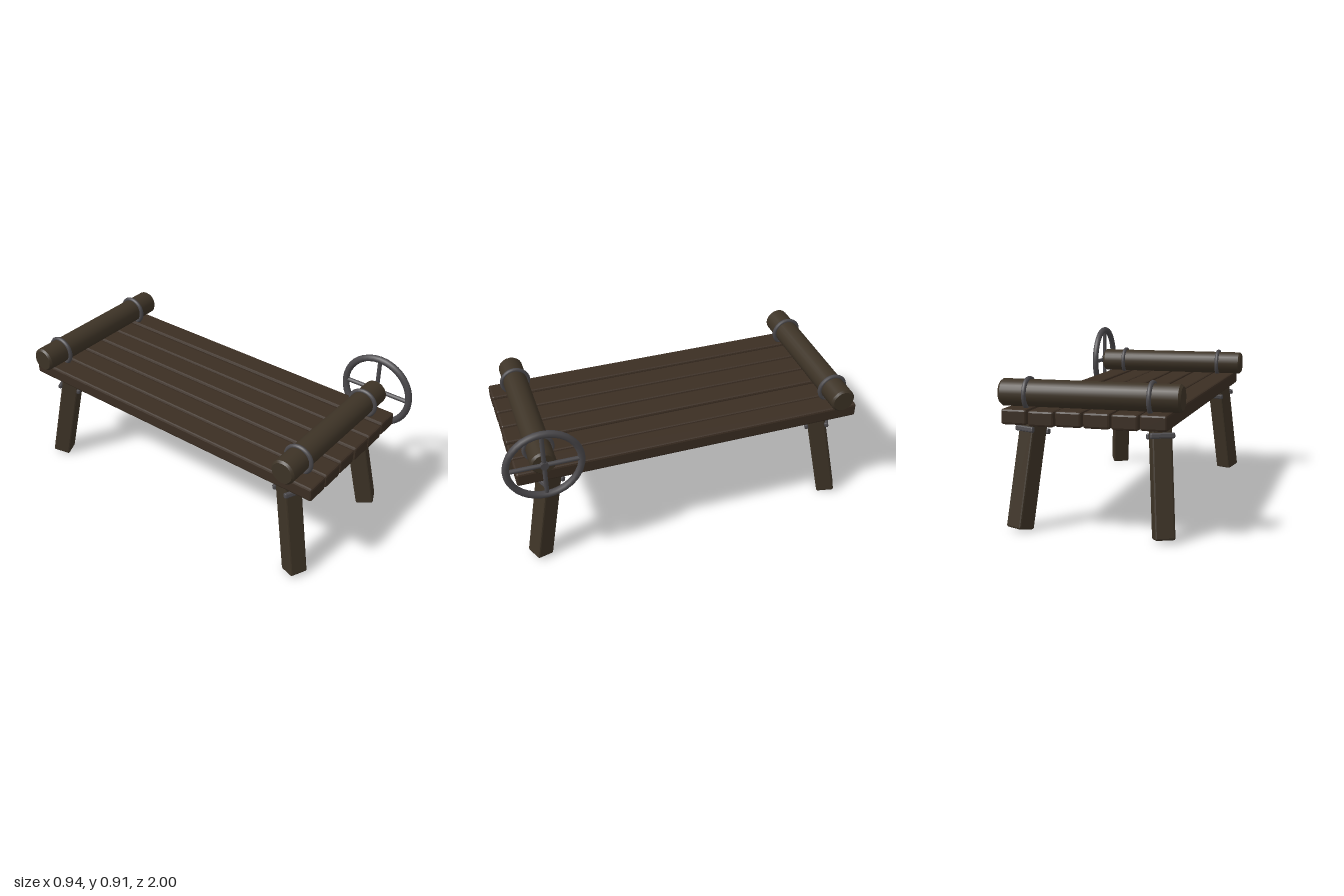
import * as THREE from 'three';
import { toCreasedNormals } from 'three/addons/utils/BufferGeometryUtils.js';
import { RoundedBoxGeometry } from 'three/addons/geometries/RoundedBoxGeometry.js';

const material = (name, color) => {
  const m = new THREE.MeshStandardMaterial({ color });
  m.name = name;
  return m;
};

export function createModel() {
  const plankWood = material('plank wood', 0x3b2e23);
  const logWood = material('log wood', 0x3d3326);
  const iron = material('dark iron', 0x4a484b);
  const model = new THREE.Group();
  model.name = 'rackTable';

  const add = (parent, name, geometry, mat, x = 0, y = 0, z = 0) => {
    const mesh = new THREE.Mesh(geometry, mat);
    mesh.name = name;
    mesh.position.set(x, y, z);
    parent.add(mesh);
    return mesh;
  };

  // Box with flat chamfered edges
  const chamferBox = (w, h, d, c) => {
    const g = new RoundedBoxGeometry(w, h, d, 1, c);
    g.computeVertexNormals();
    return g;
  };

  // Table top: six planks with slightly uneven heights
  const lift = [0.002, -0.001, 0, 0.001, -0.003, 0.001];
  lift.forEach((dy, i) => {
    add(model, 'plank' + (i + 1), chamferBox(0.132, 0.077, 1.93 - (i % 3) * 0.003, 0.011),
      plankWood, -0.354 + i * 0.139, 0.59 + dy, -0.035);
  });

  // Rollers lying across both ends, each held by two iron rings
  const rollerProfile = [[0, -0.457], [0.058, -0.457], [0.068, -0.445], [0.068, 0.445], [0.058, 0.457], [0, 0.457]]
    .map(([r, y]) => new THREE.Vector2(r, y));
  const rollerShape = toCreasedNormals(new THREE.LatheGeometry(rollerProfile, 20), 0.5);
  const ringShape = new THREE.TorusGeometry(0.075, 0.012, 8, 28);
  for (const [end, z] of [['front', 0.785], ['back', -0.89]]) {
    add(model, end + 'Roller', rollerShape, logWood, -0.014, 0.697, z).rotation.z = -Math.PI / 2;
    for (const x of [-0.322, 0.3]) {
      add(model, end + 'RollerRing', ringShape, iron, x, 0.693, z).rotation.y = Math.PI / 2;
    }
  }

  // Crank wheel with two crossed spokes
  const wheel = new THREE.Group();
  wheel.name = 'crankWheel';
  wheel.position.set(0.45, 0.698, 0.785);
  wheel.rotation.y = Math.PI / 2;
  model.add(wheel);
  add(wheel, 'wheelRim', new THREE.TorusGeometry(0.195, 0.019, 8, 36), iron);
  for (const turn of [0, Math.PI / 2]) {
    add(wheel, 'wheelSpoke', new THREE.CylinderGeometry(0.012, 0.012, 0.39, 8), iron).rotation.z = turn;
  }
  add(wheel, 'wheelHub', new THREE.CylinderGeometry(0.022, 0.022, 0.03, 12), iron).rotation.x = Math.PI / 2;

  // Splayed legs, each clamped by an iron bar on both faces
  for (const [sx, sz, topX, topZ] of [
    [1, 1, 0.315, 0.74], [-1, 1, -0.335, 0.74],
    [1, -1, 0.315, -0.795], [-1, -1, -0.335, -0.795],
  ]) {
    const leg = new THREE.Group();
    leg.name = (sz > 0 ? 'front' : 'back') + (sx > 0 ? 'Left' : 'Right') + 'Leg';
    leg.position.set(topX, 0.55, topZ);
    leg.rotation.order = 'YXZ';
    leg.rotation.y = Math.atan2(sx * 0.045, sz * 0.1);
    leg.rotation.x = -0.203;
    model.add(leg);
    add(leg, 'legPost', chamferBox(0.1, 0.55, 0.1, 0.009), logWood, 0, -0.275, 0);
    for (const side of [1, -1]) {
      add(leg, 'clampBar', chamferBox(0.122, 0.028, 0.022, 0.007), iron, 0, -0.052, side * 0.056);
    }
  }
  return model;
}
